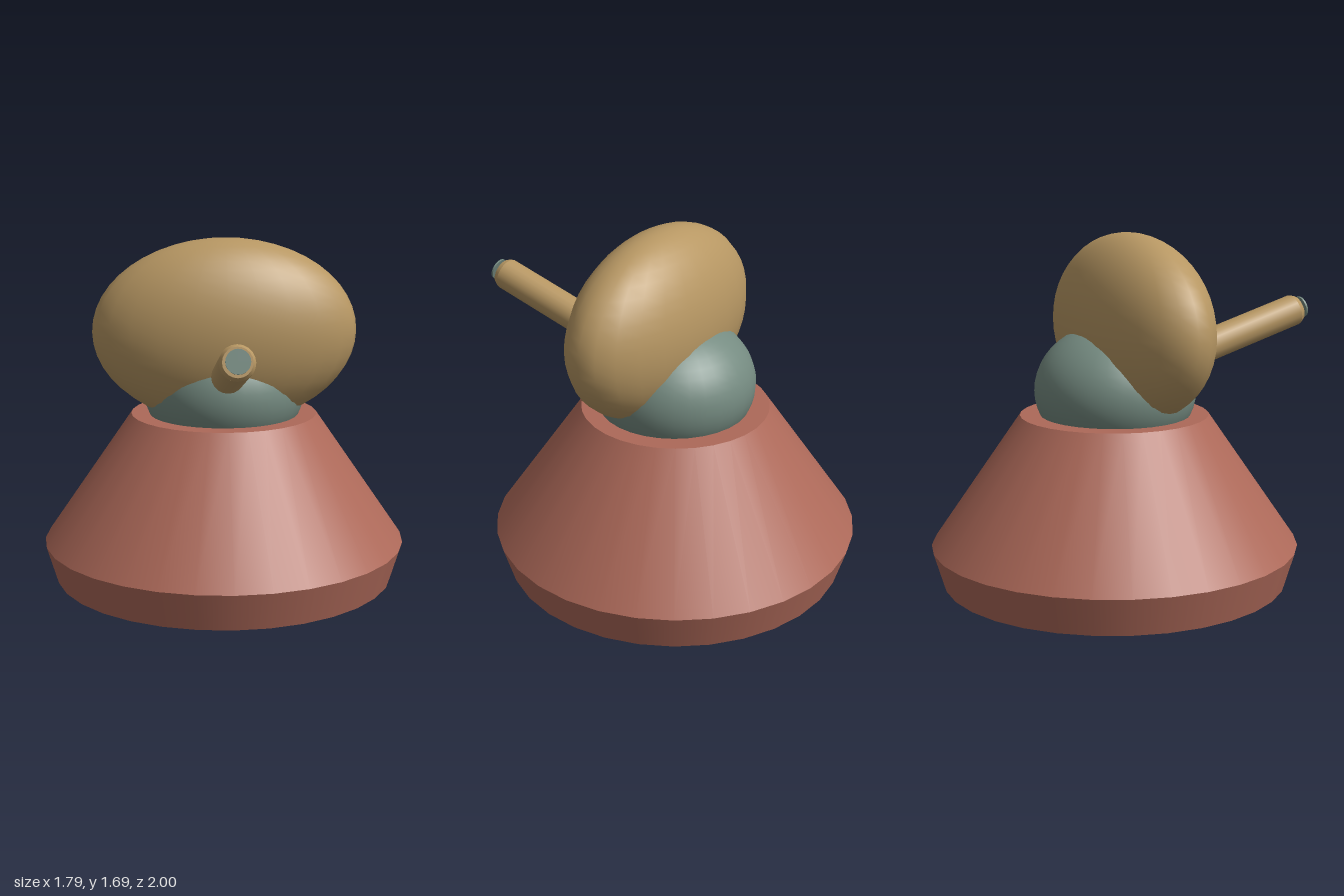
import * as THREE from 'three';

export function createModel() {
  const group = new THREE.Group();
  const mat = (name, color) => {
    const m = new THREE.MeshStandardMaterial({ color });
    m.name = name;
    return m;
  };
  const red = mat('brick red', 0xad6959);
  const tan = mat('tan', 0xb79763);
  const teal = mat('grey teal', 0x758b81);

  const add = (name, geometry, material, x, y, z, parent = group) => {
    const mesh = new THREE.Mesh(geometry, material);
    mesh.name = name;
    mesh.position.set(x, y, z);
    parent.add(mesh);
    return mesh;
  };
  const ellipsoid = (rx, ry, rz, w, h) => new THREE.SphereGeometry(1, w, h).scale(rx, ry, rz);

  const baseZ = -0.105;

  // Base: flared foot below a tapering cone with a flat top
  const foot = new THREE.CylinderGeometry(0.895, 0.84, 0.185, 32);
  add('baseFoot', foot, red, 0, 0.0925, baseZ);
  const cone = new THREE.CylinderGeometry(0.457, 0.895, 0.637, 32);
  add('baseCone', cone, red, 0, 0.5035, baseZ);

  // Squashed swivel ball seated in the base
  add('swivelBall', ellipsoid(0.395, 0.325, 0.39, 32, 24), teal, 0, 0.94, -0.1);

  // Broad flattened shield
  add('shield', ellipsoid(0.638, 0.45, 0.29, 24, 24), tan, 0, 1.24, -0.012);

  // Barrel assembly: local +y runs out along the raised axis
  const barrelGroup = new THREE.Group();
  barrelGroup.name = 'barrelAssembly';
  barrelGroup.position.set(0, 0.965, -0.1);
  barrelGroup.rotation.x = Math.PI / 2 - 0.28;
  group.add(barrelGroup);

  const length = 1.07, tip = 0.025;
  add('barrel', new THREE.CylinderGeometry(0.079, 0.079, length, 20), tan, 0, length / 2, 0, barrelGroup);
  add('barrelTip', new THREE.CylinderGeometry(0.066, 0.079, tip, 20), tan, 0, length + tip / 2, 0, barrelGroup);

  // Small plate floating just ahead of the barrel
  add('muzzlePlate', new THREE.CylinderGeometry(0.054, 0.054, 0.009, 20), teal, 0, 1.122, 0, barrelGroup);

  return group;
}
